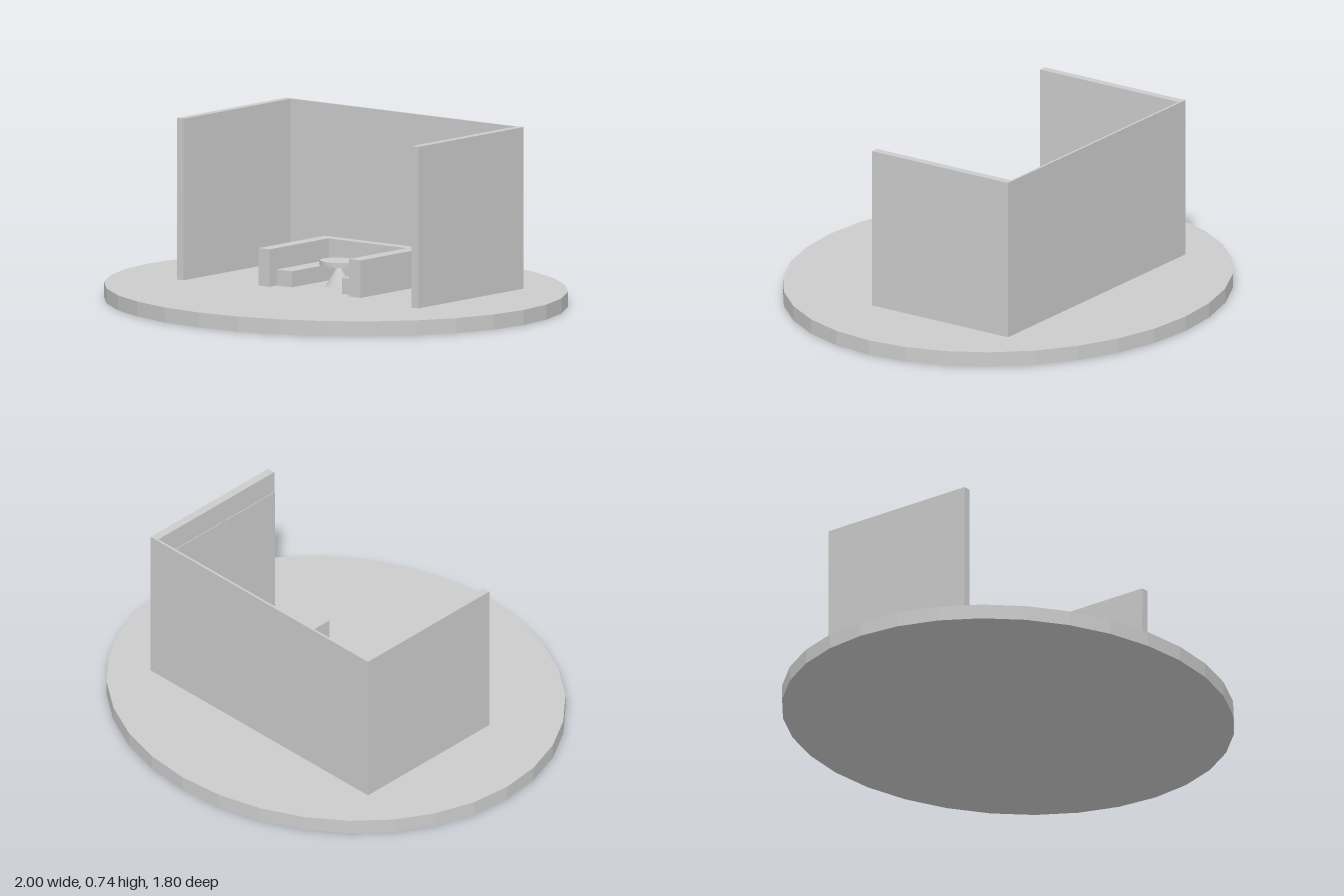
import * as THREE from 'three';

const material = new THREE.MeshStandardMaterial({ color: 0xcccccc, flatShading: true });
const FLOOR = 0.063;

function add(group, name, geometry) {
  const mesh = new THREE.Mesh(geometry, material);
  mesh.name = name;
  group.add(mesh);
  return mesh;
}

// Box given by its extents along each axis
function block(group, name, [x0, x1], [y0, y1], [z0, z1]) {
  add(group, name, new THREE.BoxGeometry(x1 - x0, y1 - y0, z1 - z0))
    .position.set((x0 + x1) / 2, (y0 + y1) / 2, (z0 + z1) / 2);
}

// Upright round part stretched to an ellipse
function round(group, name, rTop, rBottom, [y0, y1], squash, x = 0, z = 0) {
  const mesh = add(group, name, new THREE.CylinderGeometry(rTop, rBottom, y1 - y0, 32));
  mesh.scale.z = squash;
  mesh.position.set(x, (y0 + y1) / 2, z);
}

export function createModel() {
  const model = new THREE.Group();
  model.name = 'boothDiorama';

  // Oval ground slab
  round(model, 'base', 1, 1, [0, FLOOR], 0.9);

  // Three-sided wall enclosure
  const walls = new THREE.Group();
  walls.name = 'walls';
  const wallY = [FLOOR, 0.74];
  block(walls, 'backWall', [-0.635, 0.635], wallY, [-0.45, -0.44]);
  block(walls, 'rightWall', [-0.635, -0.6], wallY, [-0.44, 0.262]);
  block(walls, 'leftWall', [0.6, 0.635], wallY, [-0.44, 0.24]);
  // Thin panels on the inner face of the left wall
  for (const z of [[-0.38, -0.07], [-0.05, 0.24]])
    block(walls, 'wallPanel', [0.597, 0.6], [FLOOR, 0.64], z);
  model.add(walls);

  // U-shaped bench: backrests outside, seats inside
  const bench = new THREE.Group();
  bench.name = 'bench';
  const backY = [FLOOR, 0.22], seatY = [FLOOR, 0.13];
  block(bench, 'rearBackrest', [-0.27, 0.27], backY, [-0.257, -0.21]);
  block(bench, 'rightBackrest', [-0.27, -0.212], backY, [-0.21, 0.176]);
  block(bench, 'leftBackrest', [0.207, 0.27], backY, [-0.21, 0.17]);
  block(bench, 'rearSeat', [-0.212, 0.207], seatY, [-0.21, -0.157]);
  block(bench, 'rightSeat', [-0.212, -0.132], seatY, [-0.157, 0.128]);
  block(bench, 'leftSeat', [0.14, 0.207], seatY, [-0.157, 0.132]);
  model.add(bench);

  // Pedestal table
  const table = new THREE.Group();
  table.name = 'table';
  round(table, 'tableFoot', 0.001, 0.058, [FLOOR, 0.155], 0.87, -0.005, -0.025);
  round(table, 'tableTop', 0.084, 0.084, [0.15, 0.17], 0.87, -0.005, -0.025);
  model.add(table);

  return model;
}
